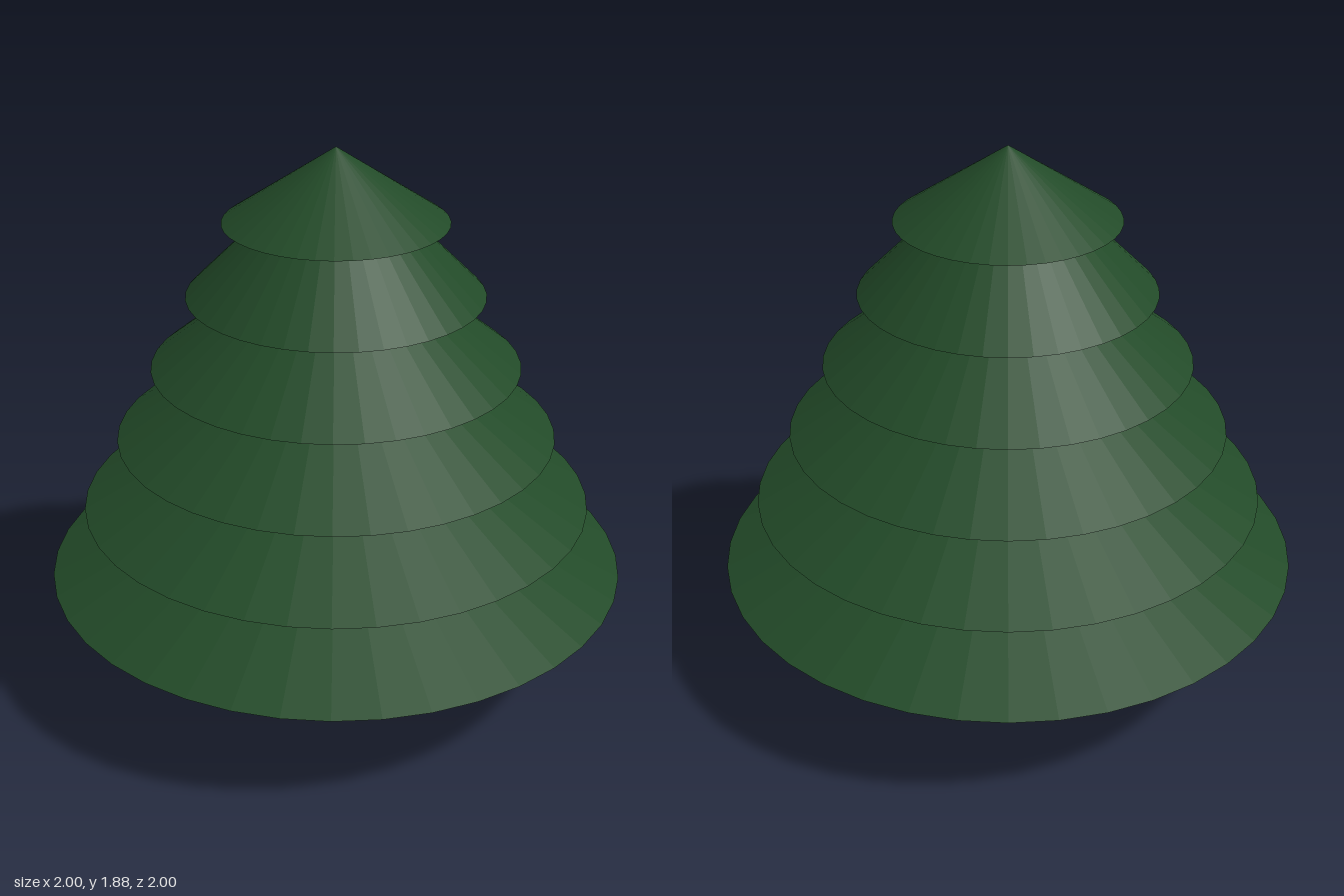
import * as THREE from 'three';

const SIDES = 40;

export function createModel() {
  const tree = new THREE.Group();
  tree.name = 'pineTree';

  const bark = new THREE.MeshStandardMaterial({ color: 0x8b4513, flatShading: true });
  const needles = new THREE.MeshStandardMaterial({ color: 0x224a28, flatShading: true });

  // Trunk, sunk slightly into the lowest tier
  const trunkHeight = 0.5;
  const trunk = new THREE.Mesh(new THREE.CylinderGeometry(0.25, 0.25, trunkHeight, SIDES), bark);
  trunk.name = 'trunk';
  trunk.position.y = trunkHeight / 2;
  tree.add(trunk);

  // Six overlapping cones, shrinking towards the tip; the top one is half as tall
  const tiers = 6;
  for (let i = 0; i < tiers; i++) {
    const radius = 1 - i * 0.125;
    const height = i === tiers - 1 ? 0.25 : 0.5;
    const tier = new THREE.Mesh(new THREE.ConeGeometry(radius, height, SIDES), needles);
    tier.name = `foliageTier${i + 1}`;
    tier.position.y = 0.38 + i * 0.25 + height / 2;
    tree.add(tier);
  }

  return tree;
}
